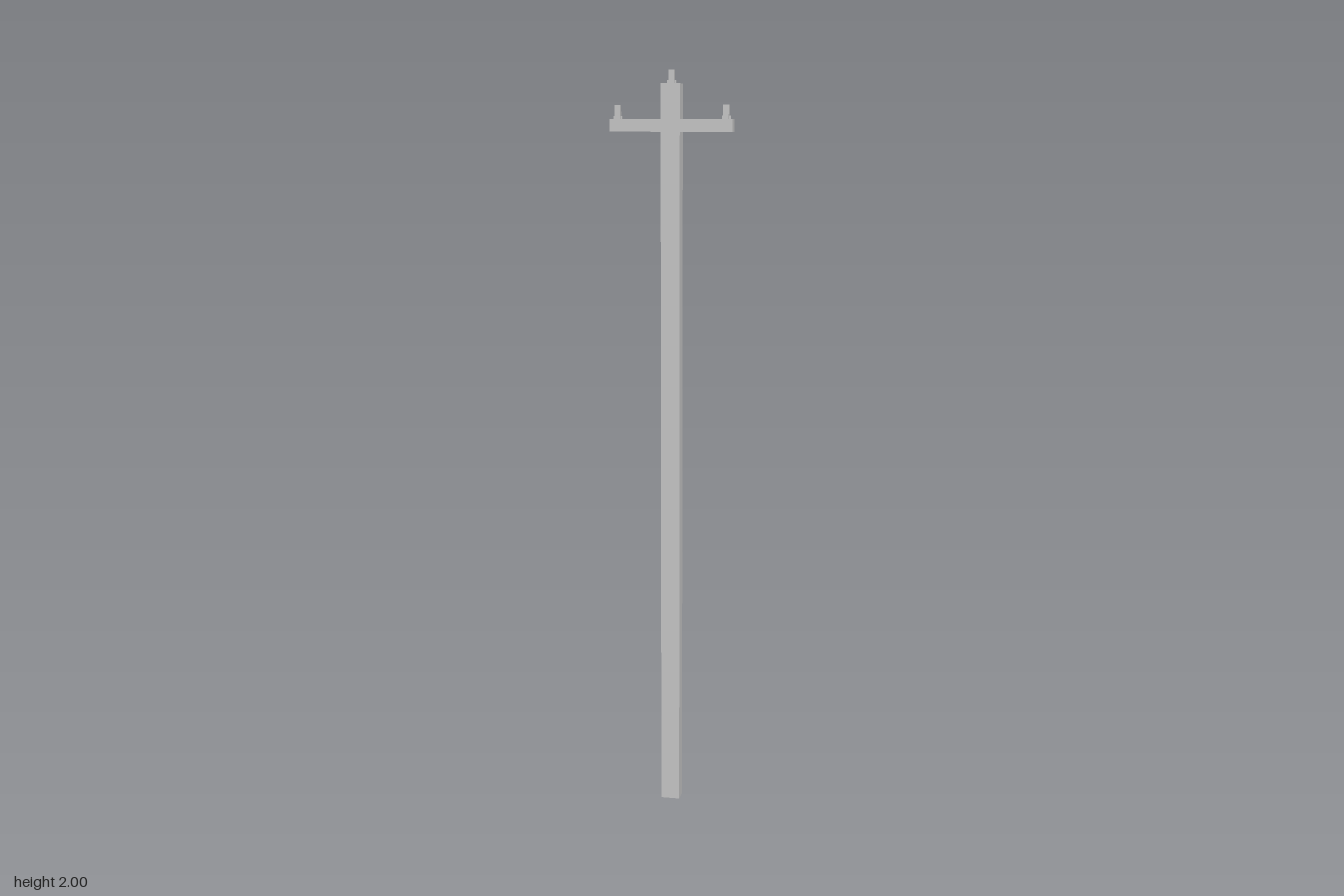
import * as THREE from 'three';

const material = new THREE.MeshStandardMaterial({ color: 0xcccccc, flatShading: true, side: THREE.DoubleSide });

// Box standing on height y
function box(name, w, h, d, x, y, z = 0) {
  const mesh = new THREE.Mesh(new THREE.BoxGeometry(w, h, d).translate(0, h / 2, 0), material);
  mesh.name = name;
  mesh.position.set(x, y, z);
  return mesh;
}

// Square insulator pin with a thin foot on either side
function insulator(name, x, y, h) {
  const pin = new THREE.Group();
  pin.name = name;
  pin.add(box('insulatorPin', 0.015, h, 0.015, 0, 0));
  pin.add(box('insulatorFoot', 0.024, 0.008, 0.002, 0, 0));
  pin.position.set(x, y, 0);
  return pin;
}

export function createModel() {
  const model = new THREE.Group();
  model.name = 'utilityPole';

  // Tall post, open at the ground
  const post = box('post', 0.051, 1.965, 0.04, 0, 0);
  const index = Array.from(post.geometry.index.array);
  index.splice(18, 6); // bottom face
  post.geometry.setIndex(index);
  post.geometry.clearGroups();
  model.add(post);

  // Crossarm through the post
  model.add(box('crossarm', 0.328, 0.033, 0.033, 0, 1.841));

  // Insulators on the arm ends and the post top
  model.add(insulator('leftInsulator', 0.145, 1.874, 0.036));
  model.add(insulator('rightInsulator', -0.145, 1.874, 0.036));
  model.add(insulator('topInsulator', 0, 1.965, 0.035));

  return model;
}
